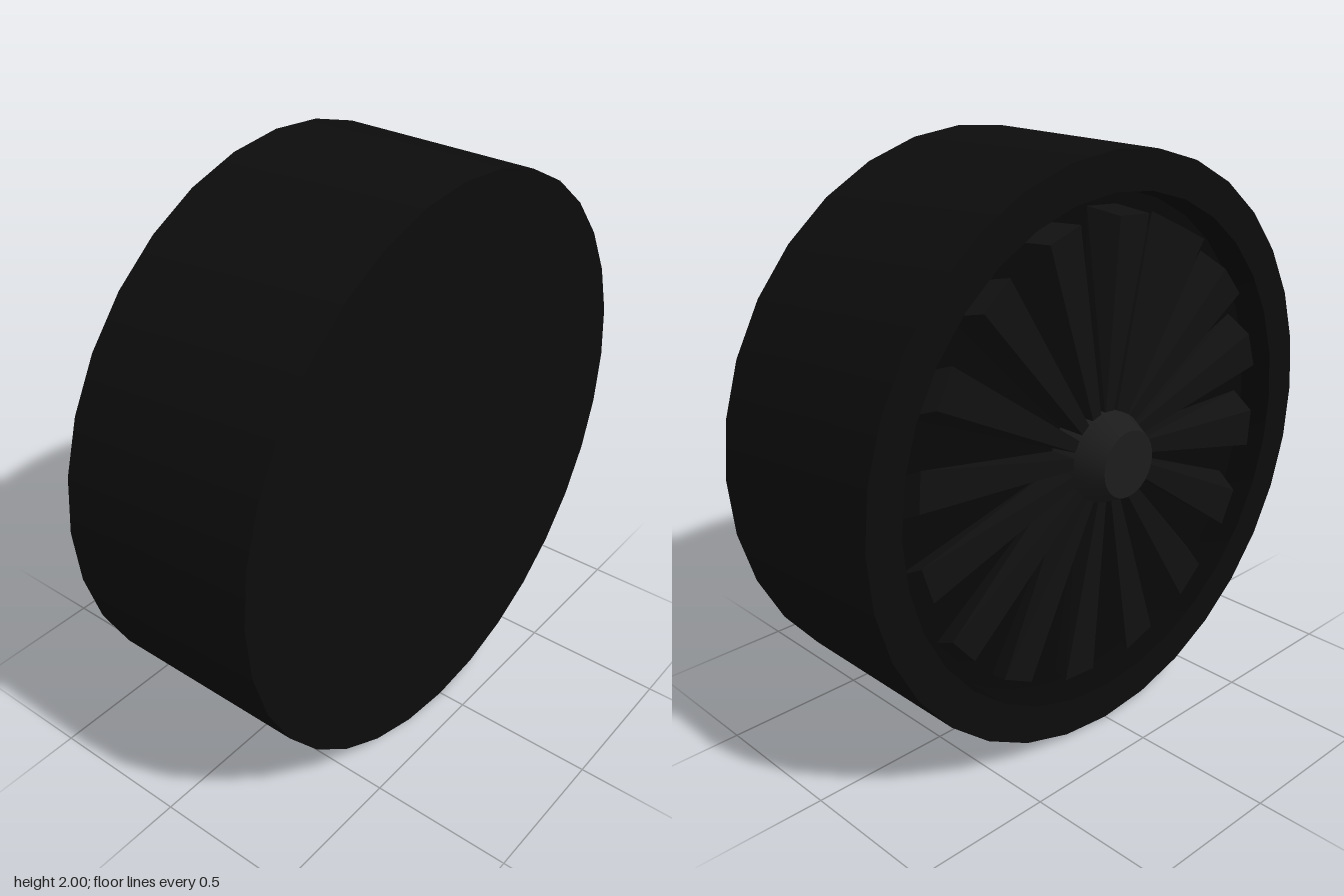
import * as THREE from 'three';
import { toCreasedNormals } from 'three/addons/utils/BufferGeometryUtils.js';

const SIDES = 32;
const BLADES = 16;

const paint = (color) => new THREE.MeshStandardMaterial({ color });

// Turned part: profile points are [radius, height along the axle]
function turned(name, profile, material) {
  const points = profile.map(([r, h]) => new THREE.Vector2(r, h));
  const geometry = toCreasedNormals(new THREE.LatheGeometry(points, SIDES), Math.PI / 6);
  const mesh = new THREE.Mesh(geometry, material);
  mesh.name = name;
  return mesh;
}

// Fan blade: a box that widens toward the rim and leans along its depth
function bladeGeometry() {
  const root = 0.13, tip = 0.81, floor = 0.2, face = 0.3;
  const g = new THREE.BoxGeometry(tip - root, face - floor, 1);
  g.translate((root + tip) / 2, (floor + face) / 2, 0);
  const p = g.attributes.position;
  for (let i = 0; i < p.count; i++) {
    const r = p.getX(i), h = p.getY(i);
    const outer = (r - root) / (tip - root);
    const width = 0.035 + 0.1 * outer;
    const lean = 0.05 * outer * (h - floor) / (face - floor);
    p.setZ(i, p.getZ(i) * width + lean);
    // Front edge of the tip is cut back
    if (outer > 0.5 && h > 0.25) p.setX(i, r - 0.02);
  }
  g.computeVertexNormals();
  return toCreasedNormals(g, 0.3);
}

export function createModel() {
  const model = new THREE.Group();
  model.name = 'wheel';

  // Axle runs along x, with the open dish facing -x
  const axle = new THREE.Group();
  axle.name = 'wheelBody';
  axle.rotation.z = Math.PI / 2;
  axle.position.y = 1;
  model.add(axle);

  // Tyre with a flat closed inner side and a raised outer rim
  axle.add(turned('tyre', [[0, -0.4], [1, -0.4], [1, 0.32], [0.87, 0.32]], paint(0x0c0c0c)));

  // Recessed dish behind the blades
  axle.add(turned('dish', [[0.87, 0.32], [0.86, 0.2], [0, 0.2]], paint(0x070707)));

  // Central hub cap
  axle.add(turned('hub', [[0.155, 0.2], [0.155, 0.32], [0.115, 0.4], [0, 0.4]], paint(0x1c1c1c)));

  // Ring of blades
  const blades = new THREE.Group();
  blades.name = 'blades';
  const geometry = bladeGeometry();
  const material = paint(0x101010);
  for (let i = 0; i < BLADES; i++) {
    const blade = new THREE.Mesh(geometry, material);
    blade.name = 'blade';
    blade.rotation.y = (i / BLADES) * Math.PI * 2 - 0.08;
    blades.add(blade);
  }
  axle.add(blades);

  return model;
}
